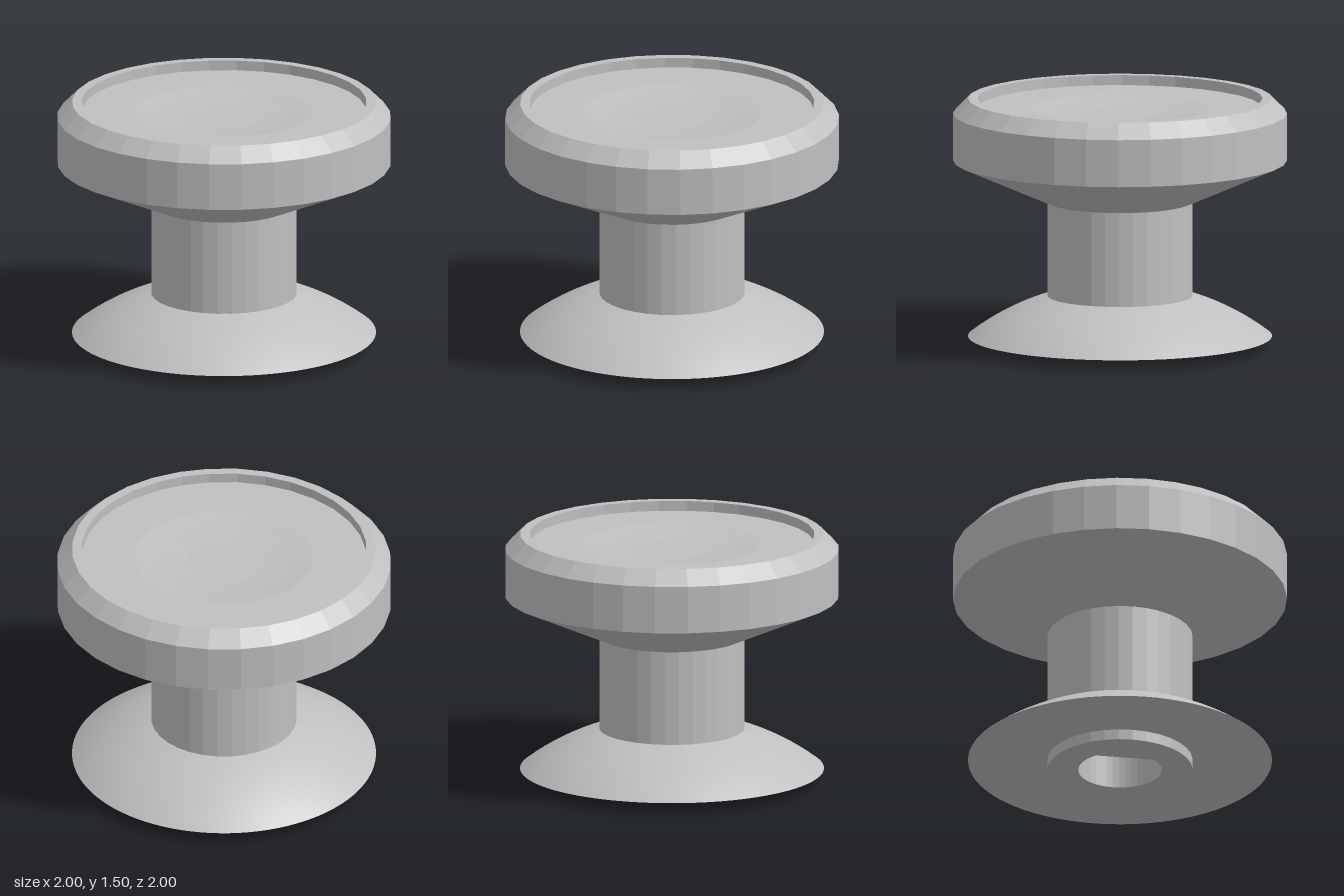
import * as THREE from 'three';
import { toCreasedNormals } from 'three/addons/utils/BufferGeometryUtils.js';

export function createModel() {
  const group = new THREE.Group();
  group.name = 'thumbKnob';
  const grey = new THREE.MeshStandardMaterial({ color: 0xc0c0c0 });
  grey.name = 'plain grey';

  const add = (name, geometry) => {
    const mesh = new THREE.Mesh(geometry, grey);
    mesh.name = name;
    group.add(mesh);
  };
  // Revolves [radius, height] points; edges sharper than crease stay hard
  const turn = (profile, sides, crease) => toCreasedNormals(
    new THREE.LatheGeometry(profile.map(([r, y]) => new THREE.Vector2(r, y)), sides), crease);

  // Shaft with a D-shaped socket, its flat towards +z
  const outline = new THREE.Shape();
  outline.absarc(0, 0, 0.435, 0, Math.PI * 2, false);
  const socket = new THREE.Path();
  socket.absarc(0, 0, 0.25, -Math.PI / 4, Math.PI * 1.25, false);
  socket.closePath();
  outline.holes.push(socket);
  const shaft = new THREE.ExtrudeGeometry(outline, { depth: 0.88, bevelEnabled: false, curveSegments: 16 });
  shaft.rotateX(-Math.PI / 2);
  add('shaft', shaft);

  // Domed flange: a slice of a sphere with a flat underside
  const dome = [[0.42, 0.065], [0.91, 0.065]];
  const steps = 10;
  for (let i = 1; i <= steps; i++) {
    const r = THREE.MathUtils.lerp(0.91, 0.43, i / steps);
    dome.push([r, -1.116 + Math.sqrt(2.223 - r * r)]);
  }
  add('flange', turn(dome, 96, 0.4));

  // Faceted head: cone underside, band, chamfer, rim and recessed floor
  add('head', turn([
    [0, 0.88], [0.435, 0.88], [1, 1.13], [1, 1.415], [0.91, 1.505],
    [0.853, 1.505], [0.853, 1.445], [0.535, 1.445],
  ], 32, 0.01));

  // Shallow thumb dish in the middle of the head
  add('thumbDish', turn([[0.535, 1.445], [0.39, 1.427], [0.235, 1.415], [0, 1.415]], 32, 0.01));

  return group;
}
